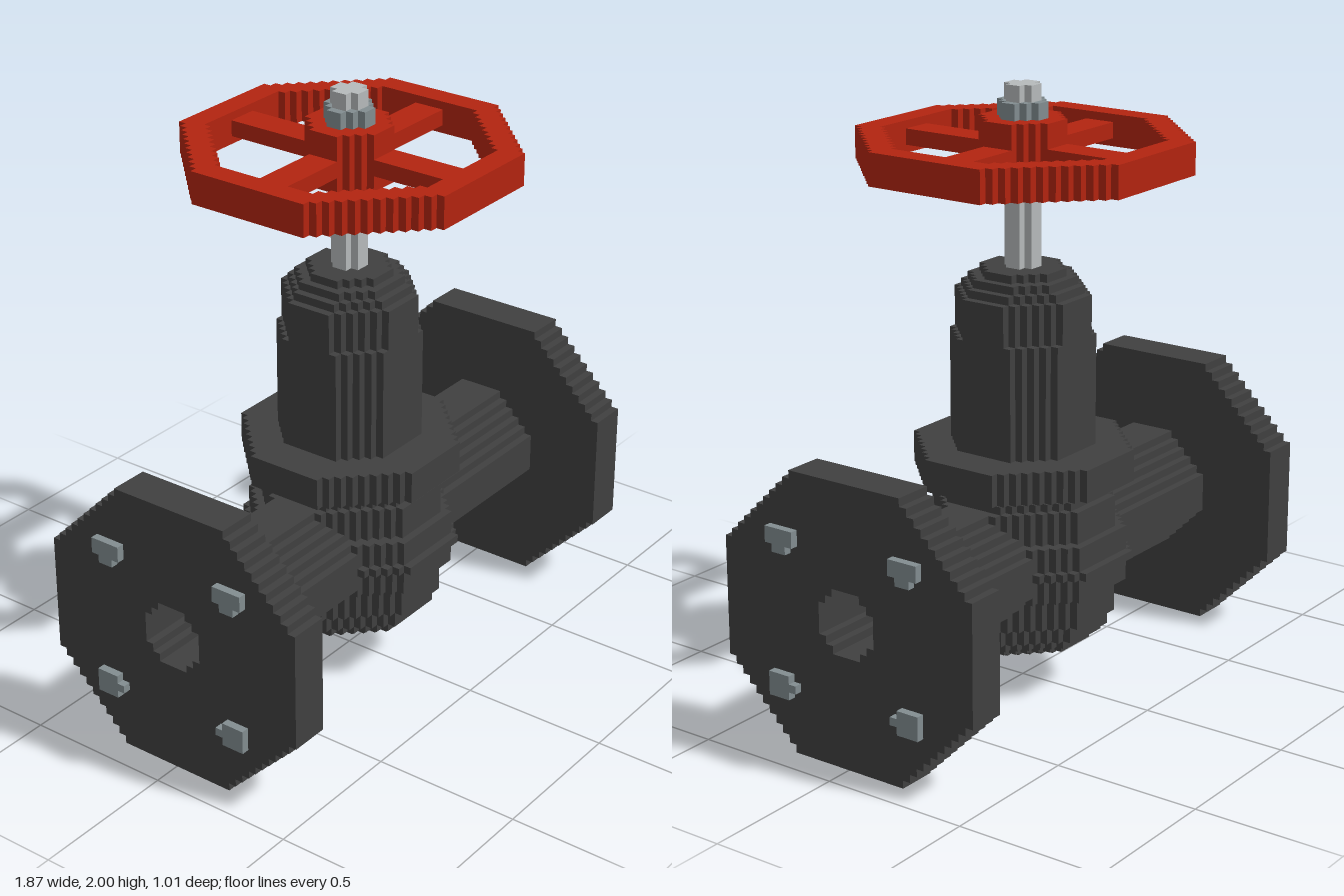
import * as THREE from 'three';
import { mergeGeometries } from 'three/addons/utils/BufferGeometryUtils.js';

const U = 2 / 75; // one block of the stepped style

const mat = (name, color) => {
  const m = new THREE.MeshStandardMaterial({ color });
  m.name = name;
  return m;
};

// Octagon outline whose diagonals are stairs of one block
function octagonPoints(w, h, steps, cy = 0) {
  const q = [];
  for (let i = 0; i < steps; i++) {
    q.push([w - steps + i, -h + i], [w - steps + i, -h + i + 1]);
  }
  q.push([w, -h + steps]);
  const r = [...q].reverse();
  return [
    ...q,
    ...r.map(([x, y]) => [x, -y]),
    ...q.map(([x, y]) => [-x, -y]),
    ...r.map(([x, y]) => [-x, y]),
  ].map(([x, y]) => new THREE.Vector2(x, y + cy));
}

// Extrudes an outline along x or y between two positions
function slab(axis, from, to, outline, hole) {
  const shape = new THREE.Shape(outline);
  if (hole) shape.holes.push(new THREE.Path(hole));
  const g = new THREE.ExtrudeGeometry(shape, { depth: to - from, bevelEnabled: false });
  g.translate(0, 0, from);
  if (axis === 'y') g.rotateX(-Math.PI / 2);
  else g.rotateY(Math.PI / 2);
  return g;
}

// Stack of stepped octagons: each layer is [bottom, top, half width, half flat]
const stack = (layers) => mergeGeometries(
  layers.map(([a, b, r, flat]) => slab('y', a, b, octagonPoints(r, r, r - flat))));

// Box from its min and max corners
function box(x0, x1, y0, y1, z0, z1) {
  const g = new THREE.BoxGeometry(x1 - x0, y1 - y0, z1 - z0);
  return g.translate((x0 + x1) / 2, (y0 + y1) / 2, (z0 + z1) / 2);
}

export function createModel() {
  const iron = mat('darkIron', 0x404040);
  const red = mat('wheelRed', 0xb32410);
  const steel = mat('boltSteel', 0x828d90);
  const bright = mat('stemSteel', 0xb6babb);

  const model = new THREE.Group();
  model.name = 'gateValve';
  const add = (name, geometry, material) => {
    const mesh = new THREE.Mesh(geometry.scale(U, U, U), material);
    mesh.name = name;
    model.add(mesh);
  };

  // Rounded valve body
  add('body', stack([
    [4, 5, 3, 1], [5, 6, 6, 2], [6, 7, 8, 3], [7, 8, 9, 4], [8, 10, 10, 4],
    [10, 14, 11, 4], [14, 17, 12, 5], [17, 18, 13, 5], [18, 21, 12, 5],
    [21, 25, 11, 4], [25, 26, 10, 4], [26, 27, 9, 4],
  ]), iron);

  // Bonnet and its collar
  add('bonnetCollar', stack([[27, 31, 13, 5]]), iron);
  add('bonnet', stack([
    [31, 45, 8, 4], [45, 50, 8, 3], [50, 51, 7, 3], [51, 52, 6, 3], [52, 53, 5, 2],
  ]), iron);

  // Pipes, end flanges and bolts on both sides
  const bore = octagonPoints(4, 4, 2, 18);
  const pipe = octagonPoints(8, 7.5, 5, 17.5);
  const flange = octagonPoints(18, 17.5, 10, 17.5);
  for (const [side, s] of [['left', 1], ['right', -1]]) {
    const span = (a, b) => (s > 0 ? [a, b] : [-b, -a]);
    add(side + 'Pipe', slab('x', ...span(9, 29), pipe, bore), iron);
    add(side + 'Flange', slab('x', ...span(29, 34), flange, bore), iron);
    const bolts = [];
    for (const t of [1, -1]) {
      const bolt = (y0, y1, z0, z1) =>
        bolts.push(box(...span(33, 35), y0, y1, ...(t > 0 ? [z0, z1] : [-z1, -z0])));
      bolt(7, 10, 8, 11);
      bolt(8, 9, 7, 8);
      bolt(26, 28, 7, 11);
      bolt(25, 26, 8, 10);
    }
    add(side + 'Bolts', mergeGeometries(bolts), steel);
  }

  // Stem and nut
  add('stem', stack([[52, 75, 2, 1]]), bright);
  add('stemNut', stack([[71, 73, 3, 1]]), steel);

  // Handwheel: rim, four spokes and hub
  add('wheelRim', slab('y', 65, 69, octagonPoints(19, 19, 11), octagonPoints(16, 16, 9)), red);
  add('wheelSpokes', mergeGeometries([
    box(-17, 17, 66, 68, -2, 2),
    box(-2, 2, 66, 68, -17, 17),
  ]), red);
  add('wheelHub', stack([[64, 71, 5, 2]]), red);

  return model;
}
